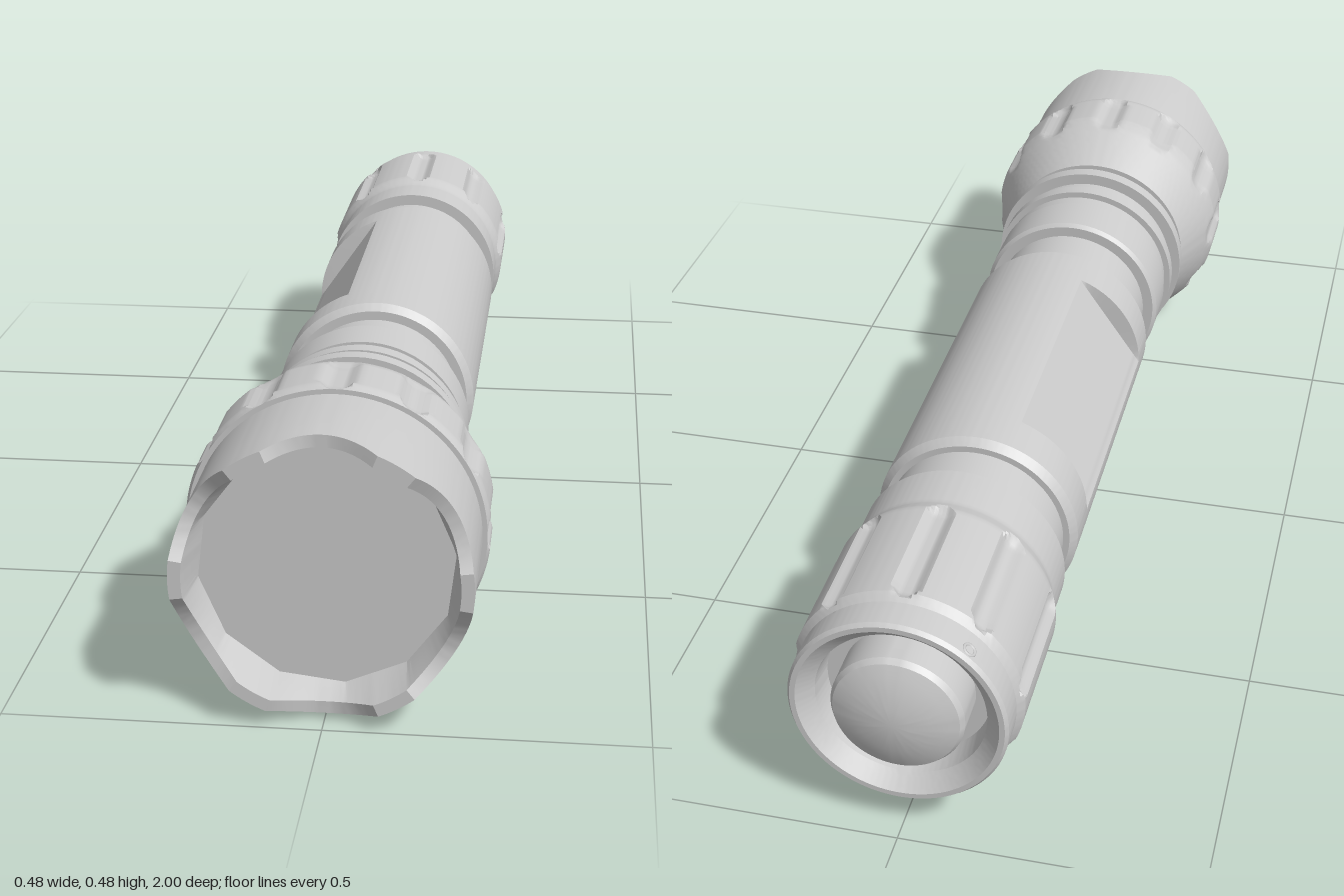
import * as THREE from 'three';
import { toCreasedNormals } from 'three/addons/utils/BufferGeometryUtils.js';

const AXIS_Y = 0.243;
const DEG = Math.PI / 180;
const material = new THREE.MeshStandardMaterial({ color: 0xcccccc });

// Signed angle from theta to the nearest of n evenly spaced directions
function nearest(theta, n, start) {
  const step = (2 * Math.PI) / n;
  const d = theta - start;
  return d - Math.round(d / step) * step;
}

// Subdivides a profile so that cut features have enough rows
function subdivide(profile, step) {
  const out = [profile[0]];
  for (let i = 1; i < profile.length; i++) {
    const [r0, z0] = profile[i - 1], [r1, z1] = profile[i];
    const n = Math.max(1, Math.ceil(Math.abs(z1 - z0) / step));
    for (let k = 1; k <= n; k++) out.push([r0 + ((r1 - r0) * k) / n, z0 + ((z1 - z0) * k) / n]);
  }
  return out;
}

// Turns a [radius, z] profile around the z axis; rule(r, z, theta) returns a new [r, z]
function turned(name, profile, rule, segments = 72) {
  const geo = new THREE.LatheGeometry(profile.map(([r, z]) => new THREE.Vector2(r, z)), segments);
  geo.rotateX(Math.PI / 2);
  if (rule) {
    const p = geo.attributes.position;
    for (let i = 0; i < p.count; i++) {
      const t = Math.atan2(p.getY(i), p.getX(i));
      const [r, z] = rule(Math.hypot(p.getX(i), p.getY(i)), p.getZ(i), t);
      p.setXYZ(i, r * Math.cos(t), r * Math.sin(t), z);
    }
  }
  const mesh = new THREE.Mesh(toCreasedNormals(geo, 0.5), material);
  mesh.name = name;
  return mesh;
}

// Rule cutting n round-ended grip slots between z0 and z1
function slots(n, start, z0, z1, halfWidth, floor) {
  return (r, z, t) => {
    if (r <= floor) return [r, z];
    const across = nearest(t, n, start) * r;
    const along = Math.max(0, z0 + halfWidth - z, z - (z1 - halfWidth));
    const d = Math.hypot(across, along) / halfWidth;
    if (d >= 1) return [r, z];
    return [r + (floor - r) * Math.sqrt(1 - d * d), z];
  };
}

export function createModel() {
  const model = new THREE.Group();
  model.name = 'flashlight';
  const light = new THREE.Group();
  light.name = 'turnedParts';
  light.position.y = AXIS_Y;
  model.add(light);

  // Crenellated bezel: six shallow scallops, bore narrowing to a twelve-sided lens
  const bezelRule = (r, z, t) => {
    if (z > 0.99) {
      const d = nearest(t, 6, 90 * DEG) / (22 * DEG);
      if (Math.abs(d) < 1) z -= 0.033 * (1 - d * d);
    } else if (r < 0.205) {
      r *= Math.cos(15 * DEG) / Math.cos(nearest(t, 12, 23 * DEG));
    }
    return [r, z];
  };
  light.add(turned('bezel',
    [[0.228, 0.77], [0.23, 0.8], [0.23, 0.95], [0.23, 1], [0.21, 1], [0.2, 0.925]], bezelRule, 180));

  const lens = new THREE.Mesh(new THREE.CircleGeometry(0.2, 12), material);
  lens.name = 'lens';
  lens.rotation.z = 8 * DEG;
  lens.position.z = 0.925;
  light.add(lens);

  // Head with twelve grip slots
  light.add(turned('head',
    subdivide([[0.16, 0.563], [0.19, 0.563], [0.235, 0.665], [0.243, 0.69], [0.243, 0.785],
      [0.238, 0.8], [0.22, 0.8]], 0.007),
    slots(12, 0, 0.655, 0.797, 0.026, 0.229), 180));

  // Cooling fins and front collar
  light.add(turned('coolingFins', [
    [0.14, 0.315], [0.172, 0.315], [0.179, 0.322], [0.179, 0.41], [0.174, 0.41], [0.174, 0.445],
    [0.186, 0.445], [0.186, 0.472], [0.174, 0.472], [0.174, 0.508], [0.196, 0.508],
    [0.196, 0.535], [0.176, 0.535], [0.176, 0.57]]));

  // Necks either side of the barrel
  light.add(turned('frontNeck', [[0.152, 0.19], [0.152, 0.33]]));
  light.add(turned('rearNeck', [[0.157, -0.58], [0.157, -0.46]]));

  // Barrel with one flat panel milled into its upper side
  const flat = (r, z, t) => {
    const d = nearest(t, 1, 145 * DEG);
    if (z > -0.386 && z < 0.116 && Math.abs(d) < 36 * DEG) r = Math.min(r, 0.1475 / Math.cos(d));
    return [r, z];
  };
  light.add(turned('barrel', [
    [0.14, -0.478], [0.168, -0.478], [0.18, -0.464], [0.18, -0.387], [0.18, -0.385],
    [0.18, 0.115], [0.18, 0.117], [0.18, 0.196], [0.168, 0.21], [0.14, 0.21]], flat, 180));

  // Tail cap with a recessed end and nine grip slots
  light.add(turned('tailCap',
    subdivide([[0, -0.9], [0.135, -0.9], [0.14, -0.95], [0.165, -0.975], [0.174, -0.975],
      [0.179, -0.968], [0.179, -0.918], [0.19, -0.905], [0.19, -0.685], [0.179, -0.655],
      [0.179, -0.566], [0.14, -0.566]], 0.008),
    slots(9, 90 * DEG, -0.91, -0.675, 0.021, 0.176), 180));

  // Domed push button
  const dome = [0, 0.03, 0.06, 0.085, 0.103].map((r) => [r, -1 + 0.024 * (r / 0.103) ** 2]);
  light.add(turned('pushButton', [...dome, [0.109, -0.966], [0.109, -0.89]]));

  // Lanyard eyelet through the tail rim
  const eyelet = new THREE.Mesh(new THREE.TorusGeometry(0.01, 0.003, 8, 20), material);
  eyelet.name = 'lanyardEyelet';
  const a = 130 * DEG;
  eyelet.position.set(0.178 * Math.cos(a), 0.178 * Math.sin(a), -0.953);
  eyelet.rotation.set(-Math.PI / 2, a - Math.PI / 2, 0, 'ZYX');
  eyelet.quaternion.setFromUnitVectors(new THREE.Vector3(0, 0, 1),
    new THREE.Vector3(Math.cos(a), Math.sin(a), 0));
  light.add(eyelet);

  return model;
}
